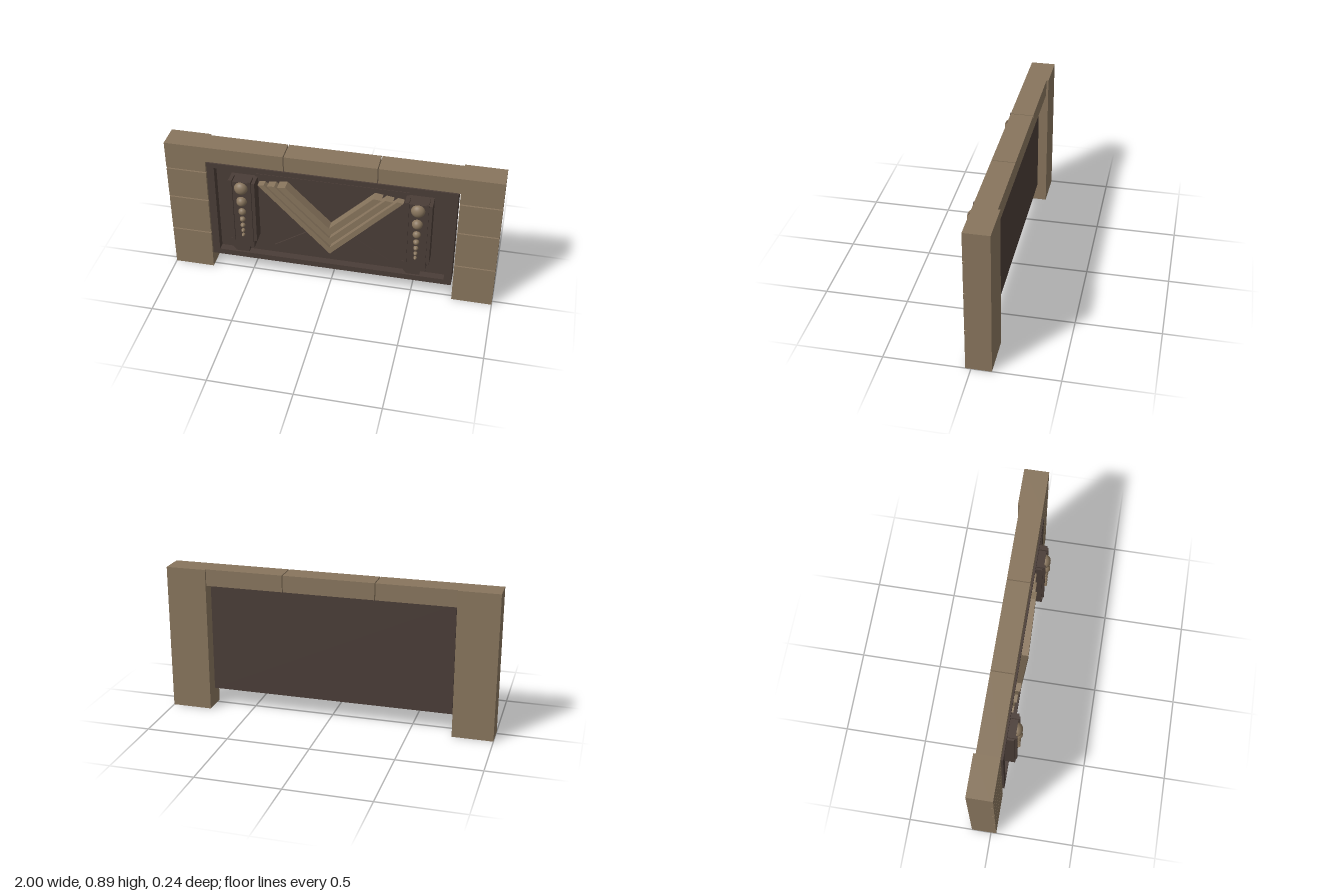
import * as THREE from 'three';

export function createModel() {
  const model = new THREE.Group();
  const stone = new THREE.MeshStandardMaterial({ color: 0x88755d });
  stone.name = 'tan stone';
  const dark = new THREE.MeshStandardMaterial({ color: 0x4a3d37 });
  dark.name = 'dark brown panel';

  const add = (parent, name, geometry, material) => {
    const mesh = new THREE.Mesh(geometry, material);
    mesh.name = name;
    parent.add(mesh);
    return mesh;
  };
  // Box given by its limits on each axis
  const block = (parent, name, material, [x0, x1], [y0, y1], [z0, z1]) => {
    const mesh = add(parent, name, new THREE.BoxGeometry(x1 - x0, y1 - y0, z1 - z0), material);
    mesh.position.set((x0 + x1) / 2, (y0 + y1) / 2, (z0 + z1) / 2);
    return mesh;
  };
  // Flat outline pushed forward from z0 to z1
  const plate = (parent, name, material, points, z0, z1, hole) => {
    const shape = new THREE.Shape(points.map(([x, y]) => new THREE.Vector2(x, y)));
    if (hole) shape.holes.push(new THREE.Path(hole.map(([x, y]) => new THREE.Vector2(x, y))));
    const geometry = new THREE.ExtrudeGeometry(shape, { depth: z1 - z0, bevelEnabled: false });
    geometry.translate(0, 0, z0);
    return add(parent, name, geometry, material);
  };
  const rect = (x, y0, y1) => [[-x, y0], [x, y0], [x, y1], [-x, y1]];

  // Pillars: a solid core with front courses separated by open joints
  const FRONT = 0.032, BACK = -0.117, TOP = 0.895;
  const joints = [0.265, 0.511, 0.717];
  for (const side of [-1, 1]) {
    const pillar = new THREE.Group();
    pillar.name = side > 0 ? 'leftPillar' : 'rightPillar';
    model.add(pillar);
    const xs = side > 0 ? [0.755, 1] : [-1, -0.755];
    block(pillar, 'pillarCore', stone, xs, [0, TOP], [BACK, 0.018]);
    const edges = [0, ...joints, TOP];
    for (let i = 0; i < 4; i++) {
      const y0 = edges[i] + (i > 0 ? 0.004 : 0);
      const y1 = edges[i + 1] - (i < 3 ? 0.004 : 0);
      block(pillar, 'pillarCourse', stone, xs, [y0, y1], [0.018, FRONT]);
    }
  }

  // Lintel: three blocks with narrow gaps
  for (const xs of [[-0.755, -0.281], [-0.275, 0.275], [0.281, 0.755]]) {
    block(model, 'lintelBlock', stone, xs, [0.793, TOP], [-0.104, FRONT]);
  }

  // Recessed panel and its frame
  const FLOOR = -0.005;
  block(model, 'panelBack', dark, [-0.745, 0.745], [0.118, 0.796], [-0.06, FLOOR]);
  plate(model, 'panelFrame', dark, rect(0.745, 0.118, 0.796), FLOOR, 0.042, rect(0.7, 0.155, 0.765));
  block(model, 'innerPlate', dark, [-0.46, 0.46], [0.21, 0.735], [FLOOR, 0.004]);

  // Low triangles under the chevrons
  for (const s of [-1, 1]) {
    const points = [[0.355 * s, 0.222], [0.095 * s, 0.39], [0.02 * s, 0.222]];
    plate(model, 'lowTriangle', dark, points, 0.004, 0.013);
  }

  // Stepped chevrons: outer x, inner x, top y, lower and upper apex y, front z
  const chevrons = [
    [0.435, 0.397, 0.69, 0.24, 0.287, 0.048],
    [0.375, 0.33, 0.697, 0.315, 0.365, 0.058],
    [0.31, 0.262, 0.706, 0.392, 0.447, 0.068],
  ];
  for (const [xo, xi, top, low, high, z] of chevrons) {
    const points = [[0, low], [xo, top - 0.006], [xi, top], [0, high], [-xi, top], [-xo, top - 0.006]];
    plate(model, 'chevron', stone, points, 0.004, z);
  }

  // Two identical columns carrying studs that shrink downwards
  const studs = [
    [0.675, 0.041, 0.033], [0.581, 0.032, 0.033], [0.505, 0.024, 0.023], [0.45, 0.018, 0.022],
    [0.405, 0.015, 0.021], [0.366, 0.012, 0.021], [0.333, 0.01, 0.021],
  ];
  for (const x of [-0.526, 0.526]) {
    const column = new THREE.Group();
    column.name = x > 0 ? 'leftColumn' : 'rightColumn';
    column.position.x = x;
    model.add(column);
    const outline = [
      [-0.08, 0.24], [-0.05, 0.202], [0.03, 0.202], [0.035, 0.24], [0.064, 0.24],
      [0.064, 0.716], [-0.068, 0.716], [-0.068, 0.29], [-0.08, 0.29],
    ];
    plate(column, 'columnBody', dark, outline, FLOOR, 0.085);
    block(column, 'columnSide', dark, [0.064, 0.082], [0.29, 0.716], [FLOOR, 0.085]);
    block(column, 'columnSide', dark, [-0.08, -0.068], [0.29, 0.716], [FLOOR, 0.08]);
    for (const rail of [[-0.068, -0.052], [0.046, 0.062]]) {
      block(column, 'columnRail', dark, rail, [0.285, 0.73], [0.03, 0.095]);
    }
    for (const [y, r, depth] of studs) {
      const stud = add(column, 'stud', new THREE.SphereGeometry(1, 24, 16), stone);
      stud.scale.set(r, r, depth);
      stud.position.set(0, y, 0.085);
    }
  }
  return model;
}
